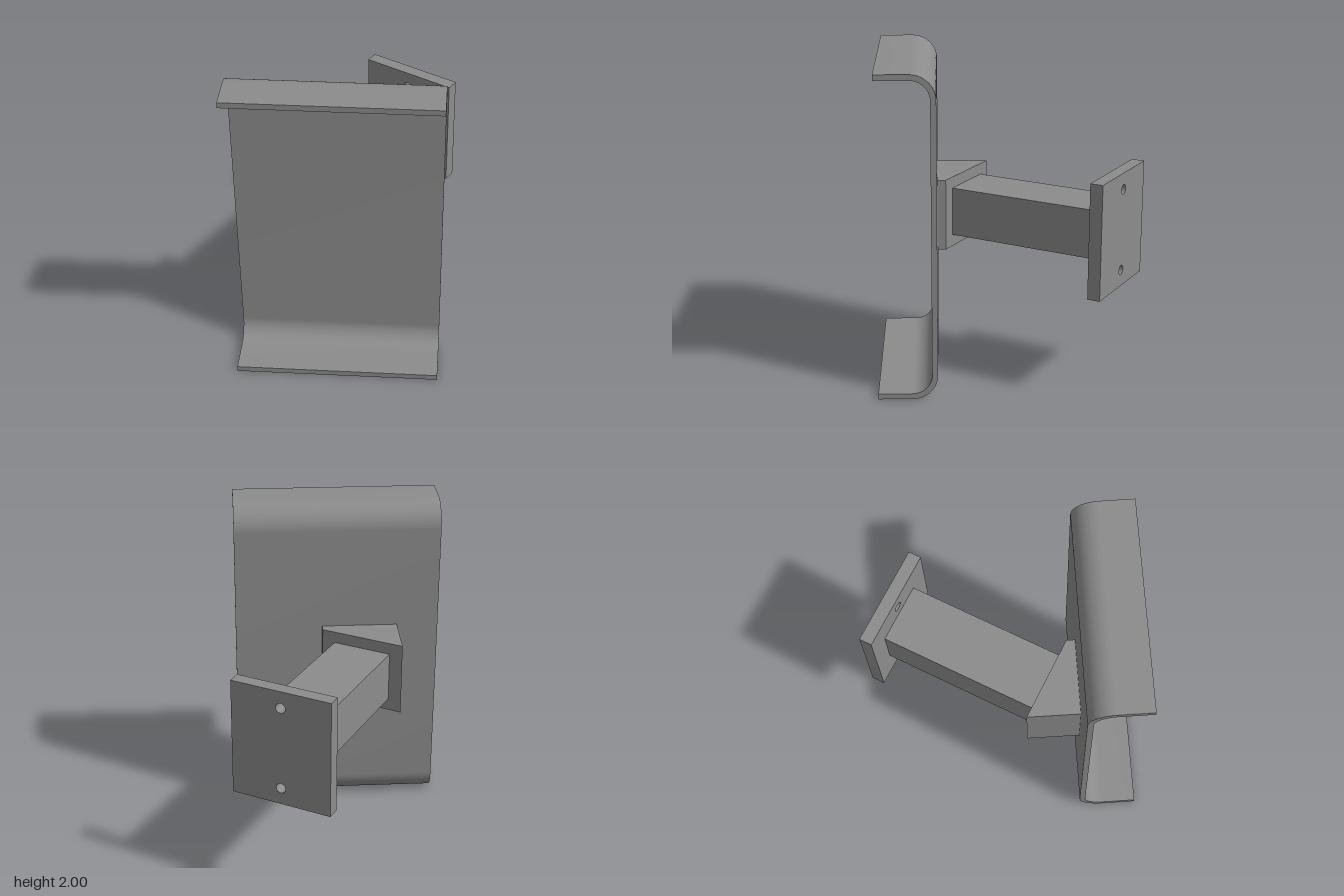
import * as THREE from 'three';
import { toCreasedNormals } from 'three/addons/utils/BufferGeometryUtils.js';

const steel = new THREE.MeshStandardMaterial({ color: 0x8c8c8c });
steel.name = 'grey steel';

function addPart(group, name, geometry) {
  const mesh = new THREE.Mesh(toCreasedNormals(geometry, 0.5), steel);
  mesh.name = name;
  group.add(mesh);
  return mesh;
}

function extrude(shape, depth) {
  return new THREE.ExtrudeGeometry(shape, { depth, bevelEnabled: false, curveSegments: 16 });
}

// C-shaped section: x runs from the back face to the flange edge, y is height
function channelShape(depth, height, thick, inner) {
  const outer = inner + thick;
  const s = new THREE.Shape();
  s.moveTo(depth, 0);
  s.lineTo(depth, thick);
  s.lineTo(outer, thick);
  s.absarc(outer, outer, inner, -Math.PI / 2, -Math.PI, true);
  s.lineTo(thick, height - outer);
  s.absarc(outer, height - outer, inner, Math.PI, Math.PI / 2, true);
  s.lineTo(depth, height - thick);
  s.lineTo(depth, height);
  s.lineTo(outer, height);
  s.absarc(outer, height - outer, outer, Math.PI / 2, Math.PI, false);
  s.lineTo(0, outer);
  s.absarc(outer, outer, outer, Math.PI, Math.PI * 1.5, false);
  s.closePath();
  return s;
}

export function createModel() {
  const group = new THREE.Group();
  group.name = 'wallBracket';
  const armX = -0.303;

  // Bent channel, turned 30 degrees to the arm
  const width = 1.25;
  const channel = extrude(channelShape(0.362, 2, 0.035, 0.12), width);
  channel.translate(0, 0, -width / 2);
  channel.rotateY(-Math.PI / 2);
  const cradle = addPart(group, 'channel', channel);
  cradle.position.set(-0.091, 0, 0.269);
  cradle.rotation.y = Math.PI / 6;

  // Wedge between arm and channel (plan outline, x and -z)
  const plan = new THREE.Shape([
    [-0.571, 0.178], [-0.413, 0.455], [-0.012, 0.223], [-0.038, 0.178],
  ].map(([x, z]) => new THREE.Vector2(x, -z)));
  const wedge = extrude(plan, 0.45);
  wedge.rotateX(-Math.PI / 2);
  addPart(group, 'wedge', wedge).position.y = 0.775;

  // Straight arm
  addPart(group, 'arm', new THREE.BoxGeometry(0.368, 0.305, 0.993))
    .position.set(armX, 1.002, -0.3185);

  // Wall plate with two screw holes
  const w = 0.31, h = 0.358;
  const plate = new THREE.Shape([
    new THREE.Vector2(-w, -h), new THREE.Vector2(w, -h),
    new THREE.Vector2(w, h), new THREE.Vector2(-w, h),
  ]);
  for (const y of [-0.255, 0.255]) {
    plate.holes.push(new THREE.Path().absarc(0, y, 0.03, 0, Math.PI * 2, true));
  }
  addPart(group, 'wallPlate', extrude(plate, 0.08)).position.set(-0.3, 0.998, -0.895);

  return group;
}
